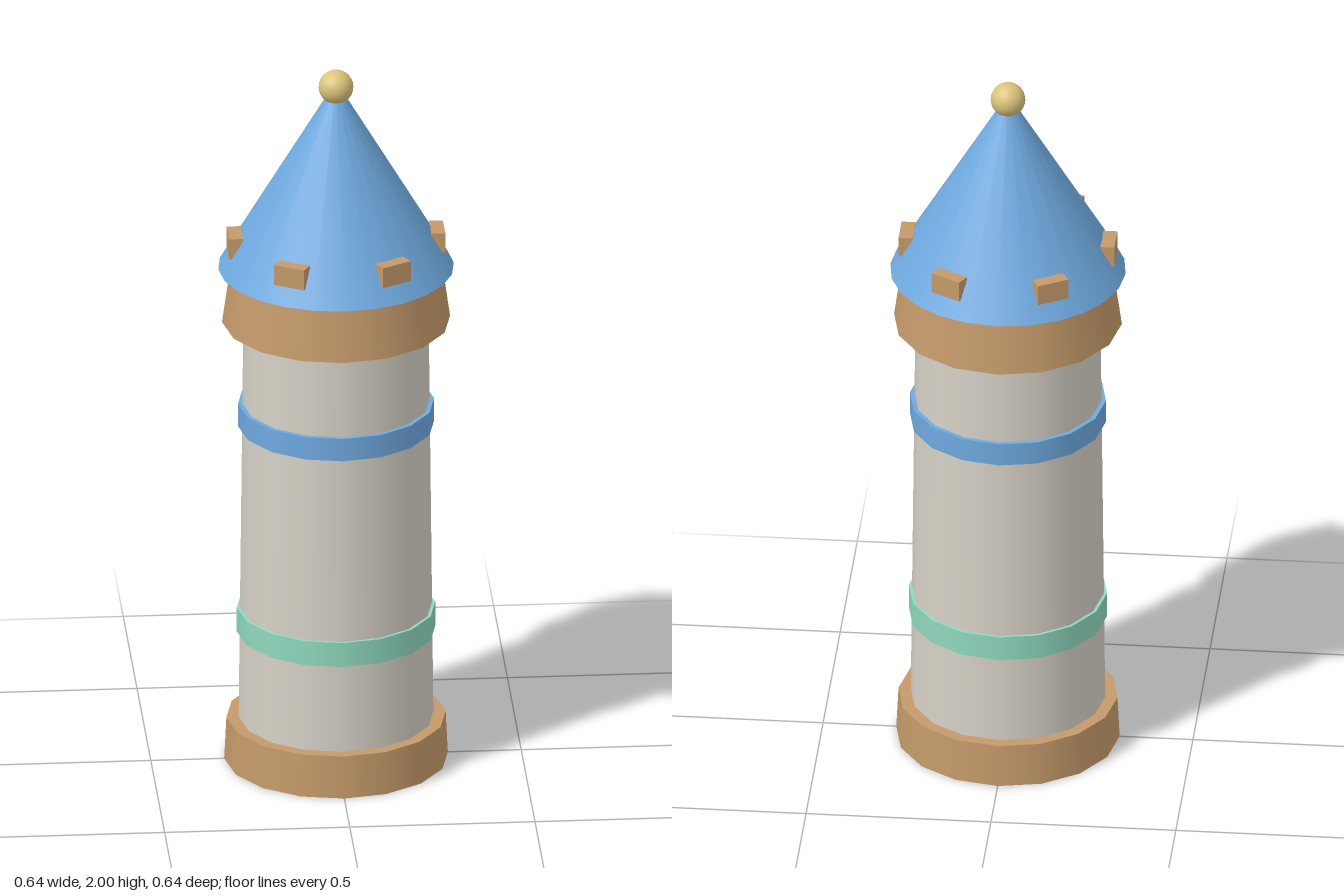
import * as THREE from 'three';

function paint(name, color) {
  const m = new THREE.MeshStandardMaterial({ color });
  m.name = name;
  return m;
}

export function createModel() {
  const tower = new THREE.Group();
  tower.name = 'tower';
  const stone = paint('stone', 0xd6d1c6);
  const wood = paint('wood', 0xc49a6a);
  const blue = paint('blue', 0x6fa9df);
  const mint = paint('mint', 0x8fd8be);
  const gold = paint('gold', 0xdcc47c);

  // Upright round section between two heights
  function section(name, material, y0, y1, r0, r1, sides = 16) {
    const geometry = new THREE.CylinderGeometry(r1, r0, y1 - y0, sides);
    const mesh = new THREE.Mesh(geometry, material);
    mesh.name = name;
    mesh.position.y = (y0 + y1) / 2;
    tower.add(mesh);
    return mesh;
  }

  // Footing, shaft and the collar under the roof
  section('base', wood, 0, 0.12, 0.302, 0.296);
  section('shaft', stone, 0.11, 1.3, 0.263, 0.25);
  section('collar', wood, 1.275, 1.425, 0.308, 0.287);

  // Painted rings around the shaft
  section('lowerBand', mint, 0.37, 0.44, 0.268, 0.268);
  section('upperBand', blue, 0.97, 1.035, 0.265, 0.265);

  // Pointed roof with a closed underside
  const roof = new THREE.Mesh(new THREE.ConeGeometry(0.318, 0.54, 24), blue);
  roof.name = 'roof';
  roof.position.y = 1.43 + 0.27;
  tower.add(roof);

  // Ball on the tip
  const finial = new THREE.Mesh(new THREE.SphereGeometry(0.047, 20, 14), gold);
  finial.name = 'finial';
  finial.position.y = 1.953;
  tower.add(finial);

  // Six wooden blocks around the eaves
  const blockGeometry = new THREE.BoxGeometry(0.038, 0.058, 0.09);
  for (let i = 0; i < 6; i++) {
    const angle = (i * Math.PI) / 3;
    const block = new THREE.Mesh(blockGeometry, wood);
    block.name = 'roofBlock' + (i + 1);
    block.position.set(Math.cos(angle) * 0.273, 1.506, Math.sin(angle) * 0.273);
    block.rotation.y = -angle;
    tower.add(block);
  }

  return tower;
}
